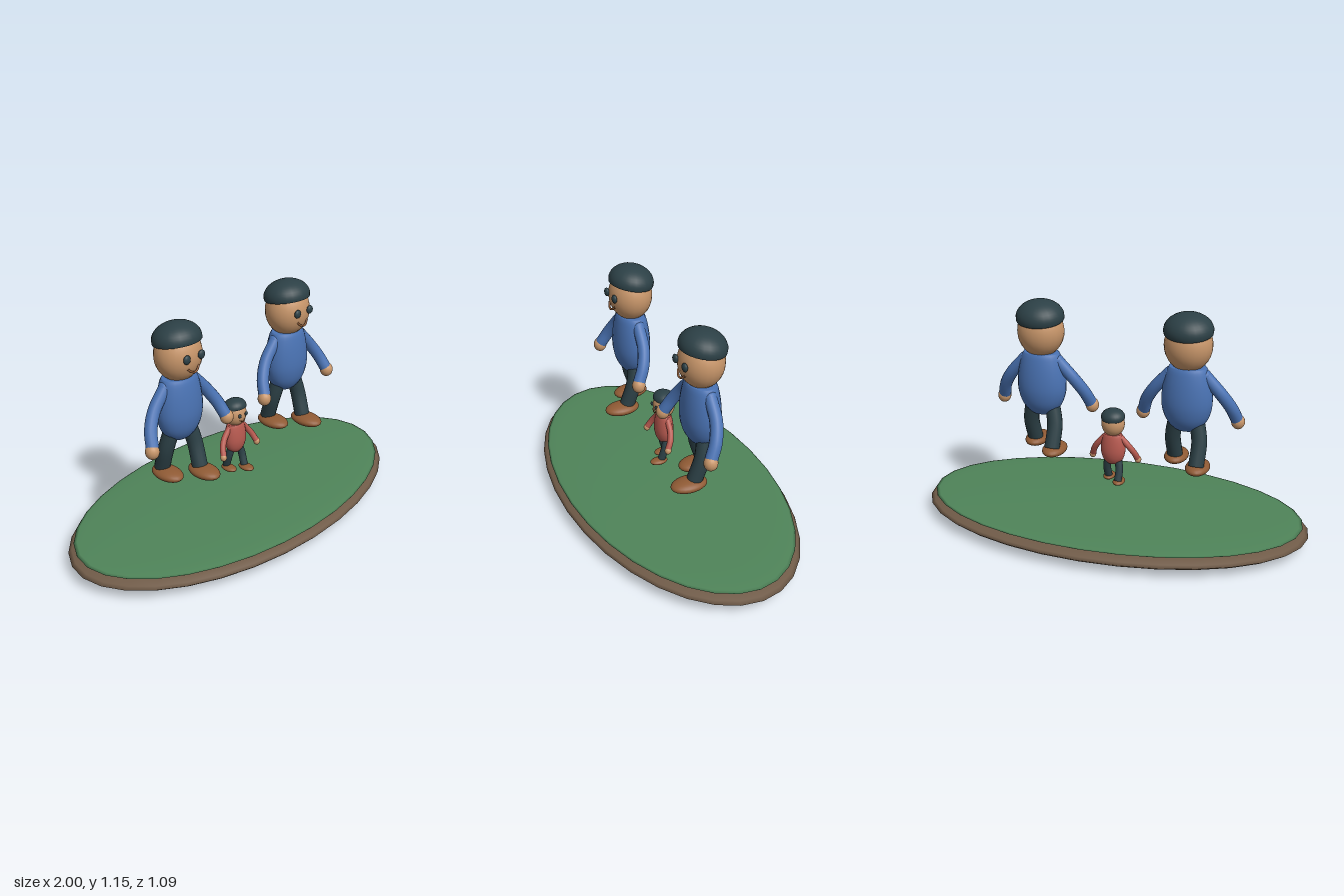
import * as THREE from 'three';

const mat = (color) => new THREE.MeshStandardMaterial({ color, side: THREE.DoubleSide });
const skin = mat(0xc8966a), dark = mat(0x2c4046), blue = mat(0x4a73b4), red = mat(0xb85a50);
const shoe = mat(0x8f5a34), soil = mat(0x705b48), grass = mat(0x4f8459);

function add(parent, name, geometry, material) {
  const mesh = new THREE.Mesh(geometry, material);
  mesh.name = name;
  parent.add(mesh);
  return mesh;
}

// Sphere stretched to the given radii
function ellipsoid(parent, name, material, radii, position, segments = 24) {
  const mesh = add(parent, name, new THREE.SphereGeometry(1, segments, 16), material);
  mesh.scale.set(...radii);
  mesh.position.set(...position);
  return mesh;
}

// Round tube through a few points
function limb(parent, name, material, points, radius) {
  const curve = new THREE.CatmullRomCurve3(points.map((p) => new THREE.Vector3(...p)));
  return add(parent, name, new THREE.TubeGeometry(curve, 16, radius, 14), material);
}

// Walking person, feet at y = 0.345 and hair top at y = 1.145
function person(name, shirt) {
  const g = new THREE.Group();
  g.name = name;

  // Pear-shaped torso, flattened front to back
  const profile = new THREE.SplineCurve([
    [0.001, 0.55], [0.055, 0.563], [0.1, 0.61], [0.122, 0.67], [0.126, 0.73],
    [0.118, 0.8], [0.103, 0.86], [0.09, 0.884],
  ].map((p) => new THREE.Vector2(...p))).getPoints(24);
  profile.push(new THREE.Vector2(0.0, 0.886));
  add(g, 'torso', new THREE.LatheGeometry(profile, 24), shirt).scale.z = 0.72;

  // Head, cap of hair and face
  ellipsoid(g, 'head', skin, [0.118, 0.13, 0.109], [0, 0.99, 0]);
  const hair = add(g, 'hair',
    new THREE.SphereGeometry(1, 24, 12, 0, Math.PI * 2, 0, Math.PI * 0.56), dark);
  hair.scale.set(0.121, 0.082, 0.113);
  hair.position.set(0, 1.065, -0.006);
  hair.rotation.x = -0.17;
  limb(g, 'mouth', shoe,
    [[-0.035, 0.954, 0.1], [-0.02, 0.939, 0.107], [0, 0.932, 0.111], [0.02, 0.939, 0.107], [0.035, 0.954, 0.1]], 0.005);

  for (const s of [1, -1]) {
    const side = s > 0 ? 'left' : 'right';
    ellipsoid(g, side + 'Eye', dark, [0.02, 0.022, 0.012], [s * 0.045, 1.005, 0.108], 16);

    // Arm reaching outward and a little forward
    ellipsoid(g, side + 'Shoulder', shirt, [0.032, 0.03, 0.032], [s * 0.085, 0.845, -0.002], 16);
    limb(g, side + 'Arm', shirt,
      [[s * 0.085, 0.845, -0.002], [s * 0.165, 0.755, 0.008], [s * 0.212, 0.68, 0.035], [s * 0.234, 0.615, 0.068]], 0.031);
    ellipsoid(g, side + 'Hand', skin, [0.034, 0.038, 0.034], [s * 0.24, 0.6, 0.073], 16);

    // Left leg strides forward, right leg trails
    limb(g, side + 'Leg', dark,
      [[s * 0.05, 0.62, 0], [s * 0.072, 0.51, s * 0.023], [s * 0.068, 0.395, s * 0.06]], 0.039);
    ellipsoid(g, side + 'Shoe', shoe, [0.06, 0.03, 0.093], [s * 0.068, 0.375, s * 0.056 + 0.034]);
  }
  return g;
}

export function createModel() {
  const model = new THREE.Group();
  model.name = 'walkingFamily';

  // Oval ground
  ellipsoid(model, 'soilBase', soil, [1, 0.06, 0.545], [0, 0.06, 0], 32);
  ellipsoid(model, 'grassTop', grass, [0.97, 0.018, 0.522], [0, 0.104, 0], 32);

  // Two adults with a half-size child between them
  for (const s of [1, -1]) {
    const adult = person(s > 0 ? 'leftAdult' : 'rightAdult', blue);
    adult.position.x = s * 0.374;
    model.add(adult);
  }
  const child = person('child', red);
  child.scale.setScalar(0.5);
  child.position.y = 0.048;
  model.add(child);
  return model;
}
